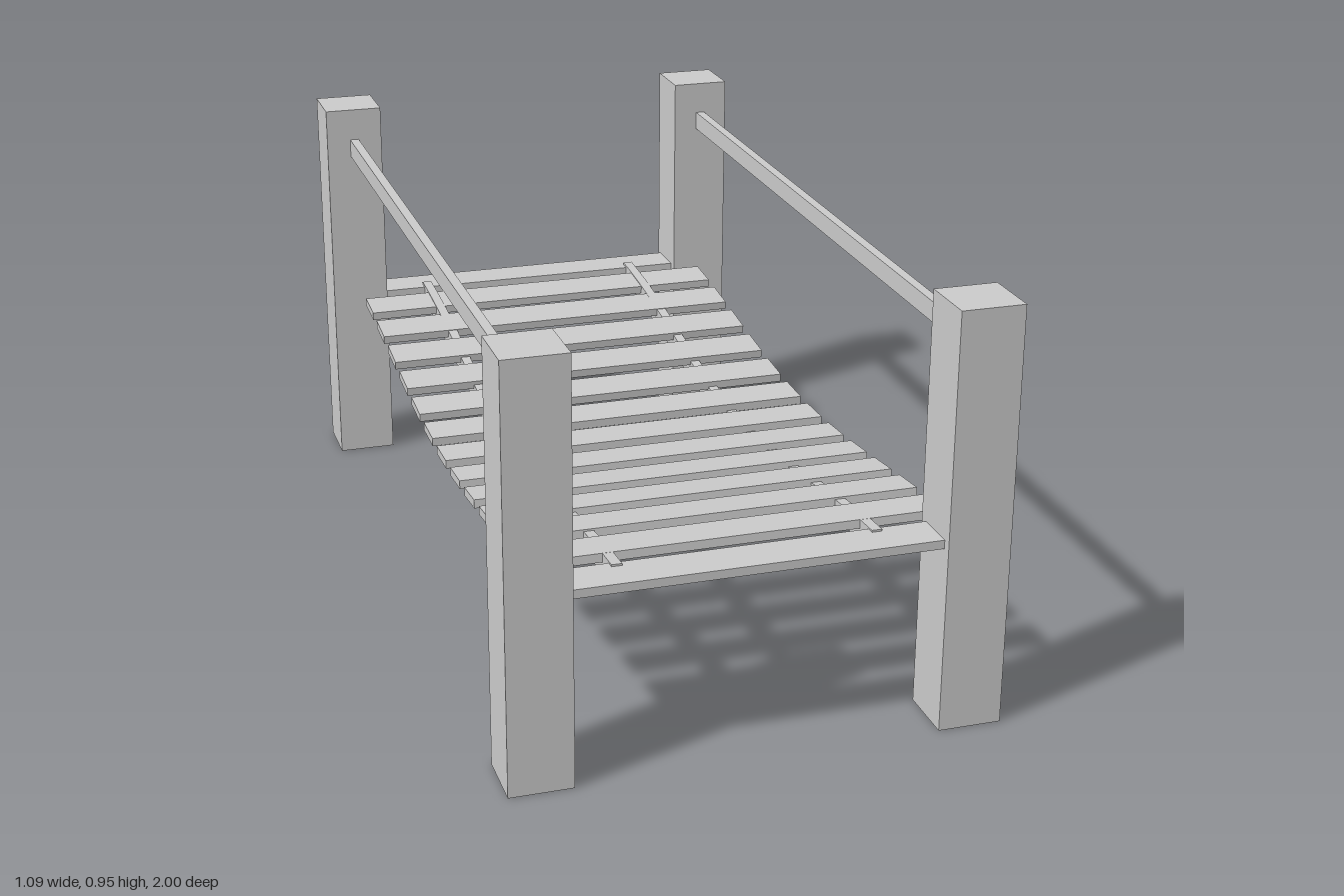
import * as THREE from 'three';

const material = new THREE.MeshStandardMaterial({ color: 0xcccccc, flatShading: true });

// Sagging curve: lowest at z = mid, rising by `rise` one unit away
const sag = (z, base, rise, mid = 0) => base + rise * (1 - Math.cos(Math.PI * (z - mid))) / 2;

function addBox(parent, name, size, position) {
  const mesh = new THREE.Mesh(new THREE.BoxGeometry(...size), material);
  mesh.name = name;
  mesh.position.set(...position);
  parent.add(mesh);
  return mesh;
}

// Beam along z whose vertices follow the sagging curve
function bearerGeometry(width, height, z0, z1) {
  const geometry = new THREE.BoxGeometry(width, height, z1 - z0, 1, 1, 28);
  const p = geometry.attributes.position;
  for (let i = 0; i < p.count; i++) {
    const z = p.getZ(i) + (z0 + z1) / 2;
    p.setZ(i, z);
    p.setY(i, p.getY(i) + sag(z, 0.327, 0.098, 0.02));
  }
  geometry.computeVertexNormals();
  return geometry;
}

export function createModel() {
  const bridge = new THREE.Group();
  bridge.name = 'bridge';

  for (const side of [-1, 1]) {
    // Corner posts
    for (const end of [-1, 1]) {
      addBox(bridge, 'post', [0.142, 0.953, 0.14], [side * 0.474, 0.4765, end * 0.93]);
    }
    // Handrails between the posts
    addBox(bridge, 'handrail', [0.022, 0.045, 1.76], [side * 0.474, 0.851, 0]);

    // Curved bearers under the deck
    const bearer = new THREE.Mesh(bearerGeometry(0.023, 0.046, -0.91, 0.9), material);
    bearer.name = 'bearer';
    bearer.position.x = side * 0.284;
    bridge.add(bearer);
  }

  // Deck planks, tilted along the sag; the two end planks lie level
  const deck = new THREE.Group();
  deck.name = 'deck';
  const count = 14;
  for (let i = 0; i < count; i++) {
    const z = -0.934 + i * 0.1434;
    const isEnd = i === 0 || i === count - 1;
    const y = isEnd ? 0.43 : sag(z, 0.357, 0.078);
    const plank = addBox(deck, 'plank', [0.93, 0.02, 0.097], [0, y, z]);
    if (!isEnd) {
      plank.rotation.x = -Math.atan(0.078 * Math.PI / 2 * Math.sin(Math.PI * z));
    }
  }
  bridge.add(deck);
  return bridge;
}
